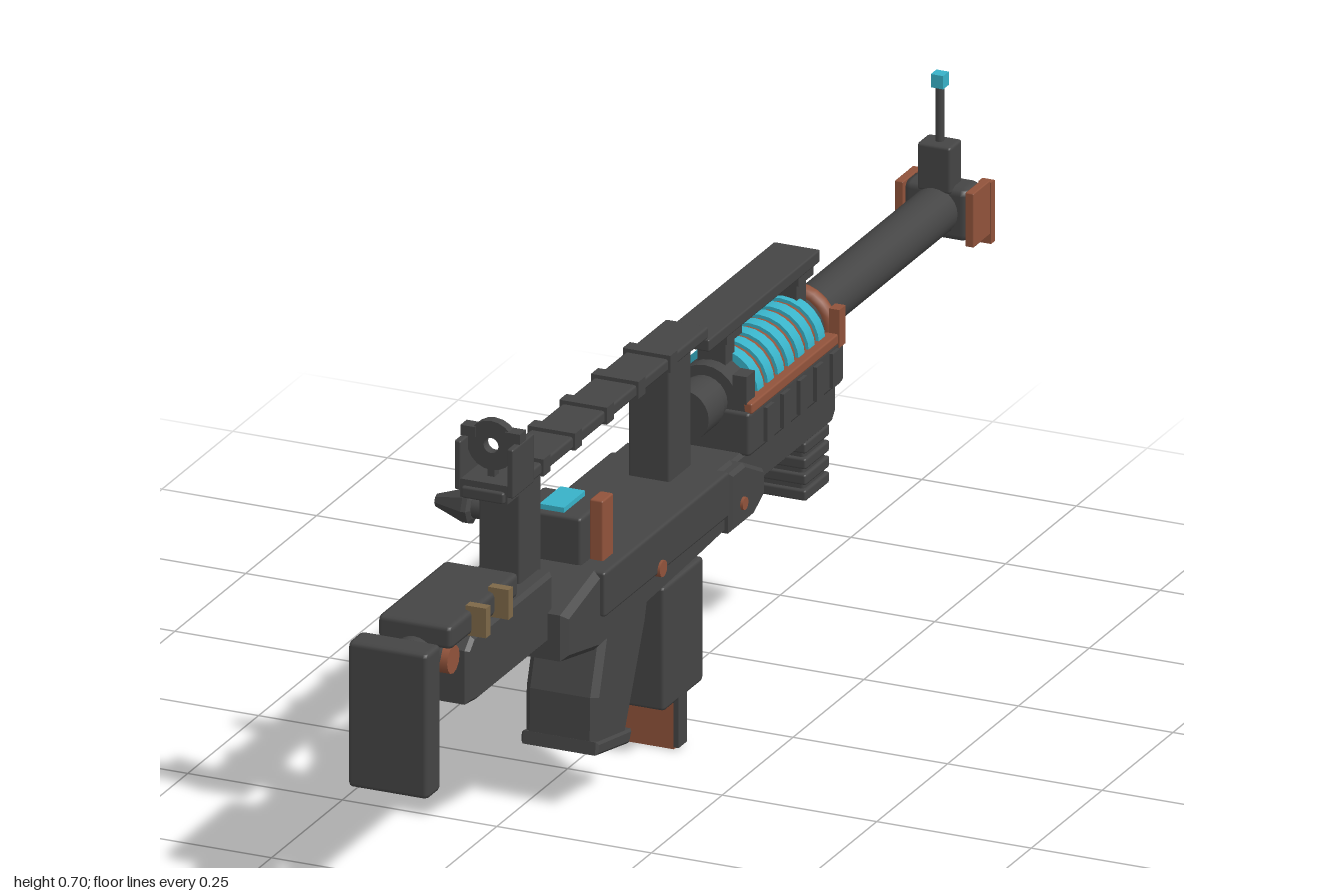
import * as THREE from 'three';
import { RoundedBoxGeometry } from 'three/addons/geometries/RoundedBoxGeometry.js';

export function createModel() {
  const root = new THREE.Group();
  root.name = 'rifle';
  const gun = new THREE.Group();
  gun.name = 'rifleBody';
  gun.position.x = 0.052;
  root.add(gun);

  const material = (name, color) => {
    const m = new THREE.MeshStandardMaterial({ color });
    m.name = name;
    return m;
  };
  const dark = material('gunmetal', 0x454545);
  const rust = material('rust', 0x91533b);
  const cyan = material('cyanGlow', 0x38b2c8);
  const tan = material('brass', 0x7d6848);

  const add = (name, geo, mat) => {
    const mesh = new THREE.Mesh(geo, mat);
    mesh.name = name;
    gun.add(mesh);
    return mesh;
  };
  // Box given by its ranges, with a small bevel when b > 0
  const box = (name, mat, x0, x1, y0, y1, z0, z1, b = 0) => {
    const w = x1 - x0, h = y1 - y0, d = z1 - z0;
    const geo = b ? new RoundedBoxGeometry(w, h, d, 1, b) : new THREE.BoxGeometry(w, h, d);
    geo.translate((x0 + x1) / 2, (y0 + y1) / 2, (z0 + z1) / 2);
    return add(name, geo, mat);
  };
  const mid = (name, mat, w, y0, y1, z0, z1, b = 0) => box(name, mat, -w / 2, w / 2, y0, y1, z0, z1, b);
  const pair = (name, mat, x0, x1, ...rest) => {
    box(name + 'Right', mat, -x1, -x0, ...rest);
    box(name + 'Left', mat, x0, x1, ...rest);
  };
  // Side outline as [z, y] points, extruded across the width
  const prism = (name, mat, w, pts, b = 0.006) => {
    const shape = new THREE.Shape(pts.map(p => new THREE.Vector2(...p)));
    const geo = new THREE.ExtrudeGeometry(shape, {
      depth: w - 2 * b, bevelEnabled: b > 0, bevelThickness: b, bevelSize: b, bevelOffset: -b, bevelSegments: 1
    });
    geo.rotateY(-Math.PI / 2).translate(w / 2 - b, 0, 0);
    return add(name, geo, mat);
  };
  const tubeZ = (name, mat, r, y, z0, z1, n = 24) =>
    add(name, new THREE.CylinderGeometry(r, r, z1 - z0, n).rotateX(Math.PI / 2).translate(0, y, (z0 + z1) / 2), mat);
  const tubeX = (name, mat, r, x0, x1, y, z, n = 12) =>
    add(name, new THREE.CylinderGeometry(r, r, x1 - x0, n).rotateZ(Math.PI / 2).translate((x0 + x1) / 2, y, z), mat);

  // Stock
  mid('buttPlate', dark, 0.13, 0.243, 0.475, 0.95, 1.0, 0.008);
  tubeZ('bufferTube', dark, 0.034, 0.425, 0.78, 0.96);
  prism('stockBody', dark, 0.115, [[0.84, 0.335], [0.84, 0.42], [0.82, 0.437], [0.54, 0.437], [0.54, 0.33], [0.8, 0.33]]);
  mid('cheekRest', dark, 0.12, 0.445, 0.483, 0.665, 0.905, 0.008);
  tubeX('stockPin', rust, 0.022, -0.045, 0.045, 0.415, 0.865);
  for (const z of [0.745, 0.825]) box('brassPin', tan, 0.05, 0.083, 0.443, 0.49, z - 0.008, z + 0.008);

  // Receiver
  prism('receiver', dark, 0.175, [[0.56, 0.305], [0.56, 0.378], [0.44, 0.405], [-0.04, 0.405], [-0.12, 0.36],
    [-0.12, 0.325], [-0.08, 0.305], [0.1, 0.295], [0.44, 0.28]], 0.01);
  mid('receiverSidePlate', dark, 0.192, 0.333, 0.405, 0, 0.44, 0.005);
  prism('receiverNose', dark, 0.197, [[0.0, 0.4], [-0.05, 0.4], [-0.12, 0.365], [-0.12, 0.325], [-0.08, 0.305], [0, 0.305]], 0.006);
  tubeX('rearPin', rust, 0.013, -0.1, 0.1, 0.34, 0.243);
  tubeX('frontPin', rust, 0.01, -0.103, 0.103, 0.34, -0.04);
  box('sideLight', cyan, -0.103, -0.094, 0.36, 0.376, -0.01, 0.075);

  // Charging block and handle
  mid('chargingBlock', dark, 0.105, 0.4, 0.48, 0.335, 0.43, 0.006);
  pair('chargingClamp', rust, 0.052, 0.074, 0.4, 0.5, 0.362, 0.4, 0.003);
  mid('chargingLight', cyan, 0.04, 0.48, 0.488, 0.345, 0.42);
  tubeX('chargingRod', dark, 0.0175, -0.146, -0.07, 0.446, 0.375);
  const knob = [[0, 0], [0.02, 0], [0.028, 0.004], [0.028, 0.012], [0.01, 0.062], [0, 0.063]].map(p => new THREE.Vector2(...p));
  const knobMesh = add('chargingKnob', new THREE.LatheGeometry(knob, 8).toNonIndexed(), dark);
  knobMesh.geometry.computeVertexNormals();
  knobMesh.geometry.rotateZ(Math.PI / 2).translate(-0.144, 0.446, 0.375);

  // Grip and trigger bar
  prism('grip', dark, 0.117, [[0.35, 0.3], [0.39, 0.18], [0.392, 0.1], [0.285, 0.08], [0.21, 0.24], [0.195, 0.3]], 0.01);
  prism('gripBase', dark, 0.125, [[0.392, 0.112], [0.395, 0.092], [0.28, 0.07], [0.27, 0.09]], 0.004);
  mid('triggerBar', dark, 0.03, 0.205, 0.23, 0.16, 0.23);
  mid('trigger', rust, 0.025, 0.23, 0.3, 0.185, 0.2);

  // Magazine
  mid('magazine', dark, 0.135, 0.08, 0.277, 0.03, 0.17, 0.006);
  mid('magazineCatch', rust, 0.1, 0.27, 0.305, 0.08, 0.112);
  mid('magazineFoot', rust, 0.117, 0, 0.085, 0.09, 0.116);
  pair('magazineFootSide', dark, 0.0585, 0.067, 0.004, 0.085, 0.088, 0.118);
  for (const y of [0.125, 0.16, 0.195, 0.23]) mid('magazineLight', cyan, 0.1, y - 0.004, y + 0.004, 0.023, 0.031);

  // Carry handle
  mid('handleRearPost', dark, 0.067, 0.335, 0.6, 0.528, 0.605, 0.004);
  mid('handleFrontPost', dark, 0.067, 0.38, 0.6, 0, 0.077, 0.004);
  mid('handleRail', dark, 0.07, 0.584, 0.603, -0.06, 0.665, 0.004);
  for (let i = 0; i < 5; i++) mid('railBand', dark, 0.077, 0.582, 0.609, 0.06 + i * 0.112, 0.085 + i * 0.112);

  // Rear sight
  mid('sightBase', dark, 0.077, 0.584, 0.613, 0.585, 0.66);
  pair('sightWing', dark, 0.037, 0.048, 0.594, 0.672, 0.585, 0.66, 0.003);
  mid('sightStem', dark, 0.011, 0.61, 0.63, 0.618, 0.634);
  const ring = new THREE.Shape().absarc(0, 0, 0.039, 0, Math.PI * 2);
  ring.holes.push(new THREE.Path().absarc(0, 0, 0.012, 0, Math.PI * 2, true));
  add('sightRing', new THREE.ExtrudeGeometry(ring, { depth: 0.016, bevelEnabled: false, curveSegments: 10 })
    .translate(0, 0.662, 0.618), dark);
  pair('sightCrossBar', dark, 0.024, 0.048, 0.672, 0.688, 0.615, 0.637);

  // Barrel
  tubeZ('barrel', dark, 0.037, 0.46, -0.95, -0.06);
  tubeZ('barrelBreech', dark, 0.041, 0.46, -0.1, -0.045);
  tubeZ('barrelCollar', dark, 0.053, 0.46, -0.165, -0.12);
  add('barrelRing', new THREE.TorusGeometry(0.054, 0.012, 8, 24).translate(0, 0.46, -0.445), rust);
  tubeZ('barrelRingHub', dark, 0.05, 0.46, -0.445, -0.4);

  // Energy coil
  tubeZ('coilCore', dark, 0.05, 0.46, -0.42, -0.15);
  for (let i = 0; i < 7; i++) {
    const z = -0.18 - i * 0.036;
    tubeZ('coilRing', cyan, 0.064, 0.458, z - 0.011, z + 0.011);
    if (i < 6) tubeZ('coilSpacer', rust, 0.059, 0.458, z - 0.025, z - 0.011);
  }

  // Forend
  mid('forendUpper', dark, 0.15, 0.38, 0.45, -0.45, -0.115, 0.006);
  prism('forendLower', dark, 0.13, [[-0.08, 0.385], [-0.445, 0.385], [-0.445, 0.335], [-0.43, 0.318], [-0.1, 0.318]]);
  pair('forendRail', rust, 0.055, 0.077, 0.447, 0.464, -0.425, -0.12, 0.003);
  pair('forendEndPost', rust, 0.06, 0.077, 0.44, 0.5, -0.45, -0.428);
  pair('forendBackPost', dark, 0.045, 0.068, 0.44, 0.505, -0.15, -0.12);
  for (let i = 0; i < 5; i++) pair('forendRib', dark, 0.07, 0.081, 0.388, 0.442, -0.19 - i * 0.058, -0.165 - i * 0.058);
  mid('foregrip', dark, 0.1, 0.225, 0.33, -0.438, -0.362, 0.006);
  for (let i = 0; i < 4; i++) mid('foregripRib', dark, 0.11, 0.218 + i * 0.025, 0.236 + i * 0.025, -0.443, -0.357, 0.004);

  // Rail above the coil
  mid('topRail', dark, 0.075, 0.563, 0.583, -0.447, -0.055, 0.003);
  for (const z of [-0.16, -0.412]) {
    mid('topRailFoot', dark, 0.06, 0.545, 0.566, z - 0.027, z + 0.027);
    mid('topRailPost', dark, 0.045, 0.48, 0.55, z - 0.016, z + 0.016);
  }

  // Muzzle and front sight
  mid('muzzleBlock', dark, 0.105, 0.415, 0.5, -0.985, -0.932, 0.012);
  tubeZ('muzzleTip', dark, 0.036, 0.458, -0.995, -0.93);
  pair('muzzlePlate', rust, 0.05, 0.064, 0.412, 0.498, -0.99, -0.93, 0.002);
  pair('muzzleLip', rust, 0.046, 0.066, 0.398, 0.495, -1.0, -0.987);
  mid('frontSightBase', dark, 0.055, 0.49, 0.565, -0.97, -0.928, 0.005);
  add('frontSightStem', new THREE.CylinderGeometry(0.007, 0.007, 0.1, 8).translate(0, 0.605, -0.95), dark);
  mid('frontSightBead', cyan, 0.02, 0.651, 0.672, -0.96, -0.94);

  return root;
}
